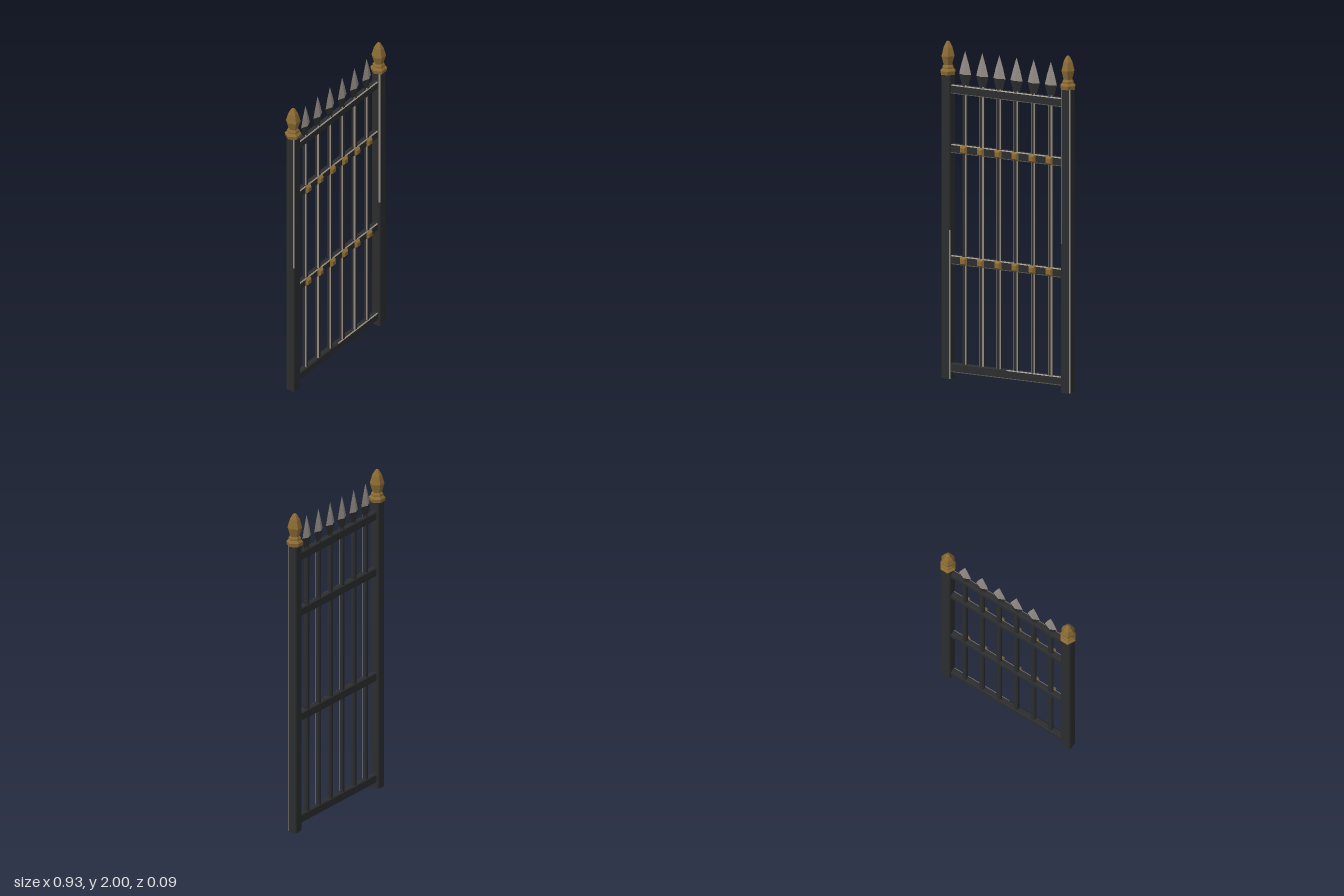
import * as THREE from 'three';

const mat = (name, color) => {
  const m = new THREE.MeshStandardMaterial({ color });
  m.name = name;
  return m;
};

// Give each triangle its own normal for crisp facets
function facet(geometry) {
  const g = geometry.index ? geometry.toNonIndexed() : geometry;
  g.computeVertexNormals();
  return g;
}

// Upright bar with chamfered corners. Each segment lists whether its
// right-front and left-front chamfers are worn to bare metal.
function chamferedBar(length, hw, hd, c, segments) {
  const p = [[hw, c - hd], [hw, hd - c], [hw - c, hd], [c - hw, hd],
    [-hw, hd - c], [-hw, c - hd], [c - hw, -hd], [hw - c, -hd]];
  const pos = [];
  const g = new THREE.BufferGeometry();
  const put = ([x, z], y) => pos.push(x, y, z);
  segments.forEach(({ to, right, left }, s) => {
    const y0 = (s ? segments[s - 1].to : 0) * length;
    const y1 = to * length;
    p.forEach((a, i) => {
      const b = p[(i + 1) % 8];
      g.addGroup(pos.length / 3, 6, (i === 1 && right) || (i === 3 && left) ? 1 : 0);
      put(a, y0); put(a, y1); put(b, y1);
      put(a, y0); put(b, y1); put(b, y0);
    });
  });
  // End caps
  g.addGroup(pos.length / 3, 48, 0);
  p.forEach((a, i) => {
    const b = p[(i + 1) % 8];
    put([0, 0], length); put(b, length); put(a, length);
    put([0, 0], 0); put(a, 0); put(b, 0);
  });
  g.setAttribute('position', new THREE.Float32BufferAttribute(pos, 3));
  return facet(g);
}

// Faceted turned shape with a vertex pointing along +x
function turned(profile, sides) {
  const points = profile.map(([r, y]) => new THREE.Vector2(r, y));
  return facet(new THREE.LatheGeometry(points, sides, Math.PI / 2));
}

export function createModel() {
  const iron = mat('black iron', 0x2c2d2e);
  const worn = mat('worn edge metal', 0xa0968c);
  const brass = mat('aged brass', 0x8c6b34);
  const steel = mat('spear steel', 0x928a85);
  const barMats = [iron, worn];
  const model = new THREE.Group();
  model.name = 'gate';

  const add = (name, geometry, material, x = 0, y = 0, z = 0) => {
    const mesh = new THREE.Mesh(geometry, material);
    mesh.name = name;
    mesh.position.set(x, y, z);
    model.add(mesh);
    return mesh;
  };

  // Posts and their finials
  const finial = turned([[0, 1.8], [0.046, 1.8], [0.05, 1.822], [0.037, 1.836],
    [0.037, 1.845], [0.028, 1.858], [0.043, 1.91], [0.029, 1.962], [0.012, 1.992], [0, 2]], 6);
  for (const side of [-1, 1]) {
    const label = side < 0 ? 'right' : 'left';
    const wear = [
      { to: 0.49, right: true, left: false },
      { to: 1, right: side > 0, left: true },
    ];
    add(label + 'Post', chamferedBar(1.8, 0.032, 0.03, 0.007, wear), barMats, side * 0.413);
    add(label + 'Finial', finial, brass, side * 0.413);
  }

  // Horizontal rails
  const full = [{ to: 1, right: true, left: true }];
  const half = [{ to: 0.5, right: true, left: false }, { to: 1, right: true, left: true }];
  const rails = [['bottomRail', 0.065, half], ['lowerRail', 0.705, full],
    ['upperRail', 1.365, full], ['topRail', 1.717, full]];
  for (const [name, y, wear] of rails) {
    const rail = add(name, chamferedBar(0.78, 0.027, 0.018, 0.006, wear), barMats, -0.39, y);
    rail.rotation.z = -Math.PI / 2;
  }

  // Upright bars, spear heads and rosettes
  const bar = chamferedBar(1.69, 0.015, 0.014, 0.007, full);
  const socket = turned([[0, 0], [0.022, 0], [0.026, 0.015], [0.042, 0.068]], 4).scale(1, 1, 0.42);
  const tip = turned([[0.042, 0.068], [0.026, 0.128], [0, 0.207]], 4).scale(1, 1, 0.42);
  const rosette = facet(new THREE.CylinderGeometry(0.019, 0.035, 0.016, 4)
    .rotateY(Math.PI / 4).rotateX(Math.PI / 2));
  facet(socket);
  facet(tip);
  for (let i = 0; i < 6; i++) {
    const x = (i - 2.5) * 0.118;
    add('uprightBar', bar, barMats, x, 0.06);
    add('spearSocket', socket, iron, x, 1.743);
    add('spearTip', tip, steel, x, 1.743);
    for (const y of [0.705, 1.365]) add('rosette', rosette, brass, x, y, 0.025);
  }
  return model;
}
